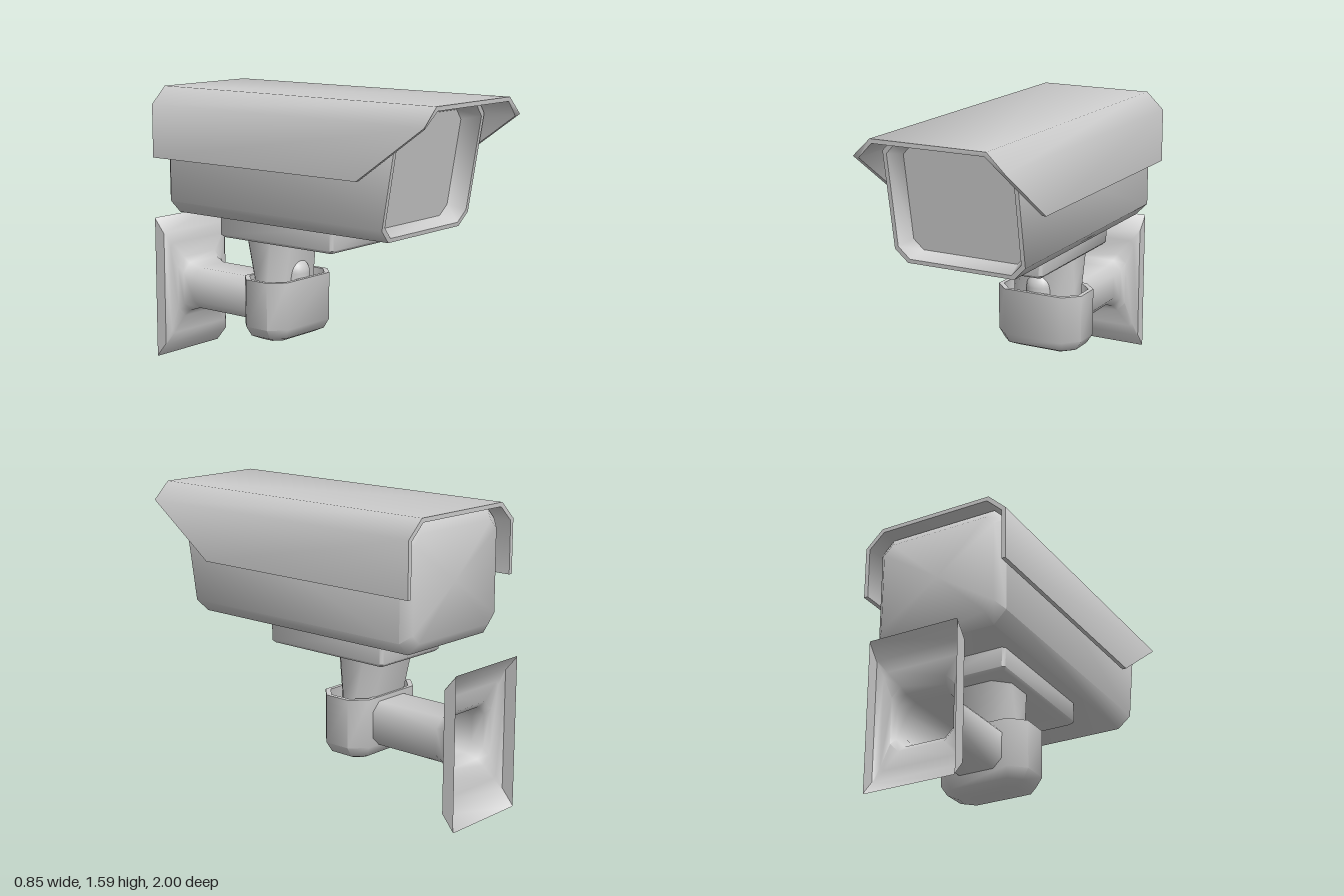
import * as THREE from 'three';
import { toCreasedNormals } from 'three/addons/utils/BufferGeometryUtils.js';

const CREASE = 0.9;

// Rectangle ring with cut corners; lean shifts z with height to slant the ring.
function ring({ z, cy, hx, hy, c, lean = 0 }) {
  return [
    [hx, -hy + c], [hx, hy - c], [hx - c, hy], [-hx + c, hy],
    [-hx, hy - c], [-hx, -hy + c], [-hx + c, -hy], [hx - c, -hy],
  ].map(([x, y]) => new THREE.Vector3(x, cy + y, z + lean * y));
}

// Skin over a row of rings running along +z, with optional flat caps.
function loft(sections, capStart = true, capEnd = true) {
  const rings = sections.map(ring), pos = [];
  const tri = (...pts) => pts.forEach(p => pos.push(p.x, p.y, p.z));
  for (let k = 0; k < rings.length - 1; k++) {
    for (let i = 0; i < 8; i++) {
      const j = (i + 1) % 8;
      const a = rings[k][i], b = rings[k][j], c = rings[k + 1][j], d = rings[k + 1][i];
      tri(a, b, c);
      tri(a, c, d);
    }
  }
  const cap = (r, flip) => {
    const mid = r.reduce((s, p) => s.add(p), new THREE.Vector3()).divideScalar(8);
    r.forEach((p, i) => (flip ? tri(mid, r[(i + 1) % 8], p) : tri(mid, p, r[(i + 1) % 8])));
  };
  if (capStart) cap(rings[0], true);
  if (capEnd) cap(rings[rings.length - 1], false);
  const geo = new THREE.BufferGeometry();
  geo.setAttribute('position', new THREE.Float32BufferAttribute(pos, 3));
  return toCreasedNormals(geo, CREASE);
}

// Upright loft: rows of [y, centre z, half width, half depth, corner cut].
function loftUp(rows) {
  return loft(rows.map(([y, cz, hx, hz, c]) => ({ z: y, cy: -cz, hx, hy: hz, c })))
    .rotateX(-Math.PI / 2);
}

export function createModel() {
  const model = new THREE.Group();
  const grey = new THREE.MeshStandardMaterial({ color: 0xcccccc });
  const greyOpen = new THREE.MeshStandardMaterial({ color: 0xcccccc, side: THREE.DoubleSide });
  const add = (name, geo, mat = grey) => {
    const mesh = new THREE.Mesh(geo, mat);
    mesh.name = name;
    model.add(mesh);
    return mesh;
  };

  // Housing: bevelled back, leaning front rim and recessed window
  const cy = 1.225, lean = 0.17;
  add('housing', loft([
    { z: -0.79, cy, hx: 0.335, hy: 0.275, c: 0.05 },
    { z: -0.74, cy, hx: 0.38, hy: 0.335, c: 0.07 },
    { z: 0.766, cy, hx: 0.38, hy: 0.335, c: 0.07, lean },
    { z: 0.766, cy, hx: 0.358, hy: 0.313, c: 0.062, lean },
    { z: 0.66, cy, hx: 0.33, hy: 0.285, c: 0.055, lean },
  ]));

  // Sunshield: folded sheet whose front sides are cut back on a diagonal
  const half = [[0.425, 1.2], [0.425, 1.495], [0.325, 1.59]];
  const inner = [[0.315, 1.567], [0.402, 1.485], [0.402, 1.2]];
  const mirror = pts => pts.map(([x, y]) => [-x, y]).reverse();
  const outline = [...half, ...mirror(half), ...mirror(inner), ...inner];
  const shape = new THREE.Shape(outline.map(([x, y]) => new THREE.Vector2(x, y)));
  const shield = new THREE.ExtrudeGeometry(shape, { depth: 1.83, bevelEnabled: false });
  shield.translate(0, 0, -0.83);
  const p = shield.attributes.position;
  for (let i = 0; i < p.count; i++) {
    const t = THREE.MathUtils.clamp((p.getY(i) - 1.2) / 0.295, 0, 1);
    p.setZ(i, Math.min(p.getZ(i), 0.59 + 0.41 * t));
  }
  add('sunshield', toCreasedNormals(shield, CREASE));

  // Mounting block under the housing
  add('mountingBlock', loftUp([
    [0.765, -0.11, 0.225, 0.385, 0.012],
    [0.78, -0.11, 0.24, 0.4, 0.015],
    [0.895, -0.11, 0.24, 0.4, 0.015],
  ]));

  // Tilting neck and its round pivot knob
  add('neck', loftUp([
    [0.42, -0.235, 0.19, 0.1, 0.06],
    [0.55, -0.245, 0.19, 0.115, 0.07],
    [0.77, -0.26, 0.19, 0.16, 0.08],
  ]));
  const knob = new THREE.CapsuleGeometry(0.083, 0.12, 8, 20);
  add('pivotKnob', knob).position.set(0, 0.517, -0.165);

  // Cup holding the neck, open at the top
  add('pivotCup', loftUp([
    [0.21, -0.22, 0.17, 0.075, 0.04],
    [0.235, -0.22, 0.225, 0.128, 0.06],
    [0.29, -0.22, 0.26, 0.155, 0.08],
    [0.555, -0.22, 0.26, 0.155, 0.08],
    [0.555, -0.22, 0.235, 0.132, 0.07],
    [0.43, -0.22, 0.235, 0.132, 0.07],
  ]));

  // Hollow wall plate flaring out of the arm
  add('wallArm', loft([
    [-1, 0.255, 0.41, 0.004],
    [-0.93, 0.255, 0.33, 0.006],
    [-0.908, 0.225, 0.265, 0.02],
    [-0.897, 0.18, 0.175, 0.05],
    [-0.865, 0.165, 0.142, 0.05],
    [-0.8, 0.15, 0.12, 0.05],
    [-0.36, 0.15, 0.12, 0.05],
  ].map(([z, hx, hy, c]) => ({ z, cy: 0.41, hx, hy, c })), false, true), greyOpen);

  return model;
}
